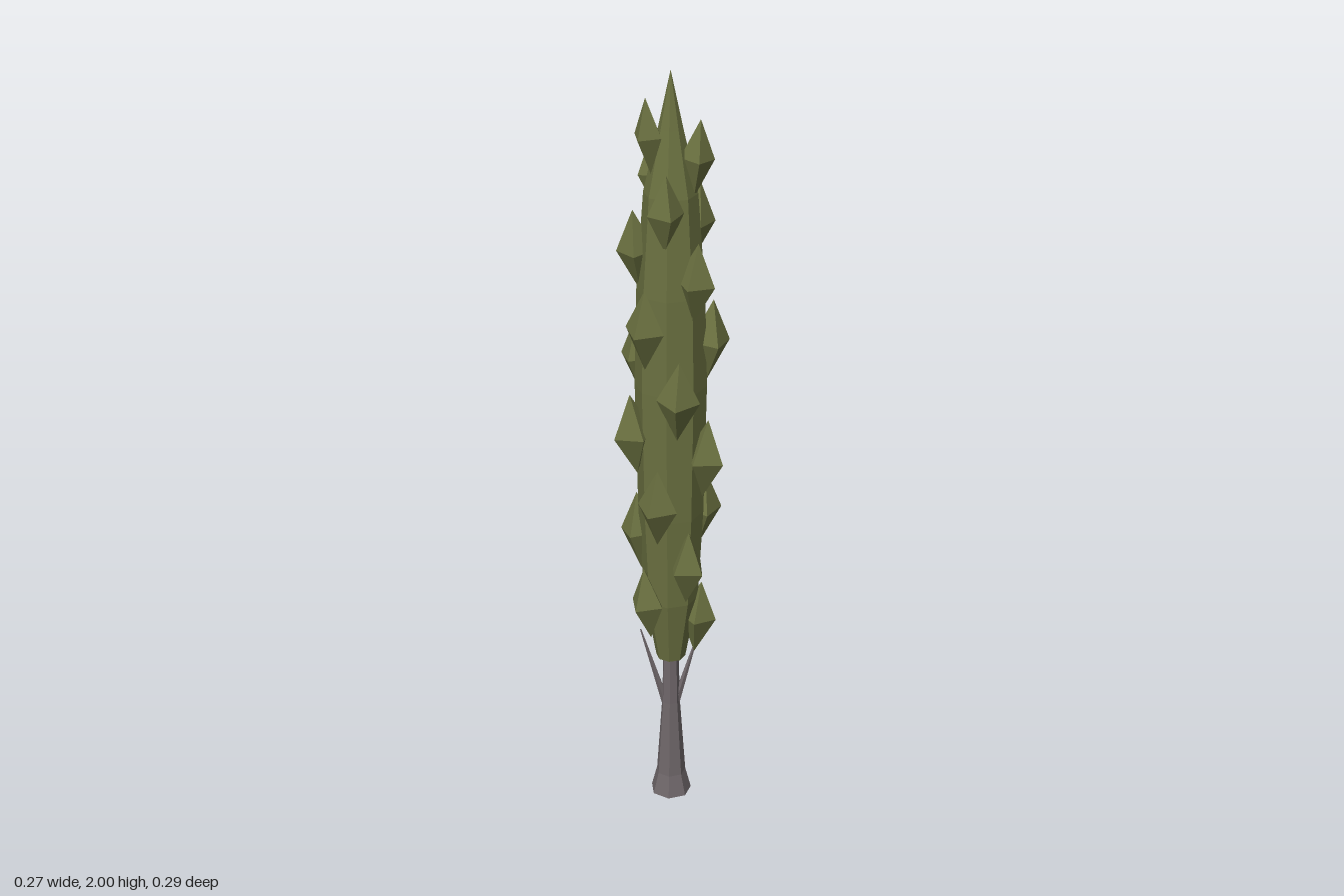
import * as THREE from 'three';

const GOLDEN = Math.PI * (3 - Math.sqrt(5));

// Small seeded generator for natural variation
function seeded(seed) {
  let s = seed;
  return () => (s = (s * 16807) % 2147483647) / 2147483647;
}

// Piecewise linear lookup through [position, value] pairs
function ramp(stops, t) {
  for (let i = 1; i < stops.length; i++) {
    const [a, va] = stops[i - 1], [b, vb] = stops[i];
    if (t <= b) return va + (vb - va) * (t - a) / (b - a);
  }
  return stops[stops.length - 1][1];
}

// Faceted lathe from [radius, height] pairs listed bottom to top
function faceted(profile, sides) {
  const pts = profile.map(([r, y]) => new THREE.Vector2(r, y));
  const geo = new THREE.LatheGeometry(pts, sides).toNonIndexed();
  geo.computeVertexNormals();
  return geo;
}

export function createModel() {
  const tree = new THREE.Group();
  tree.name = 'poplarTree';
  const bark = new THREE.MeshStandardMaterial({ name: 'greyBark', color: 0x6f676a, flatShading: true });
  const leaf = new THREE.MeshStandardMaterial({ name: 'oliveLeaves', color: 0x6a7040, flatShading: true });
  const rand = seeded(41);

  const add = (name, geo, mat, parent = tree) => {
    const mesh = new THREE.Mesh(geo, mat);
    mesh.name = name;
    parent.add(mesh);
    return mesh;
  };

  // Trunk with flared foot
  add('trunk', faceted([[0, 0], [0.054, 0], [0.039, 0.06], [0.024, 0.28], [0.018, 0.55], [0, 0.55]], 7), bark);

  // Two thin side branches
  const branches = [
    [[-0.012, 0.27, 0.002], [-0.077, 0.5, 0.015]],
    [[0.012, 0.27, -0.002], [0.07, 0.48, -0.012]],
  ];
  for (const [from, to] of branches) {
    const a = new THREE.Vector3(...from), b = new THREE.Vector3(...to);
    const dir = b.clone().sub(a);
    const mesh = add('branch', new THREE.CylinderGeometry(0.002, 0.011, dir.length(), 5), bark);
    mesh.position.copy(a).add(b).multiplyScalar(0.5);
    mesh.quaternion.setFromUnitVectors(new THREE.Vector3(0, 1, 0), dir.normalize());
  }

  // Tall leafy core, pointed at the top
  add('crownCore', faceted([[0, 0.42], [0.038, 0.42], [0.07, 0.6], [0.083, 0.85], [0.09, 1.2],
    [0.084, 1.45], [0.066, 1.7], [0.03, 1.86], [0, 2]], 8), leaf);

  // Leaf tufts spiralling up the crown
  const tufts = new THREE.Group();
  tufts.name = 'leafTufts';
  tree.add(tufts);
  const reach = [[0.5, 0.068], [0.7, 0.08], [1.0, 0.096], [1.35, 0.096], [1.6, 0.08], [1.9, 0.056]];
  const width = [[0.5, 0.047], [0.9, 0.054], [1.3, 0.054], [1.6, 0.048], [1.9, 0.038]];
  for (let i = 0; i < 23; i++) {
    const y = 0.54 + 0.0595 * i;
    const angle = i * GOLDEN;
    const r = ramp(reach, y), w = ramp(width, y);
    const tuft = add('leafTuft', new THREE.OctahedronGeometry(1), leaf, tufts);
    tuft.scale.set(w, 0.055 + w, w);
    tuft.position.set(r * Math.cos(angle), y, r * Math.sin(angle));
    // One corner roughly outward, tip leaning slightly away from the trunk
    tuft.rotation.order = 'YXZ';
    tuft.rotation.set((rand() - 0.5) * 0.1, -angle + (rand() - 0.5) * 0.9, -0.08);
  }
  return tree;
}
